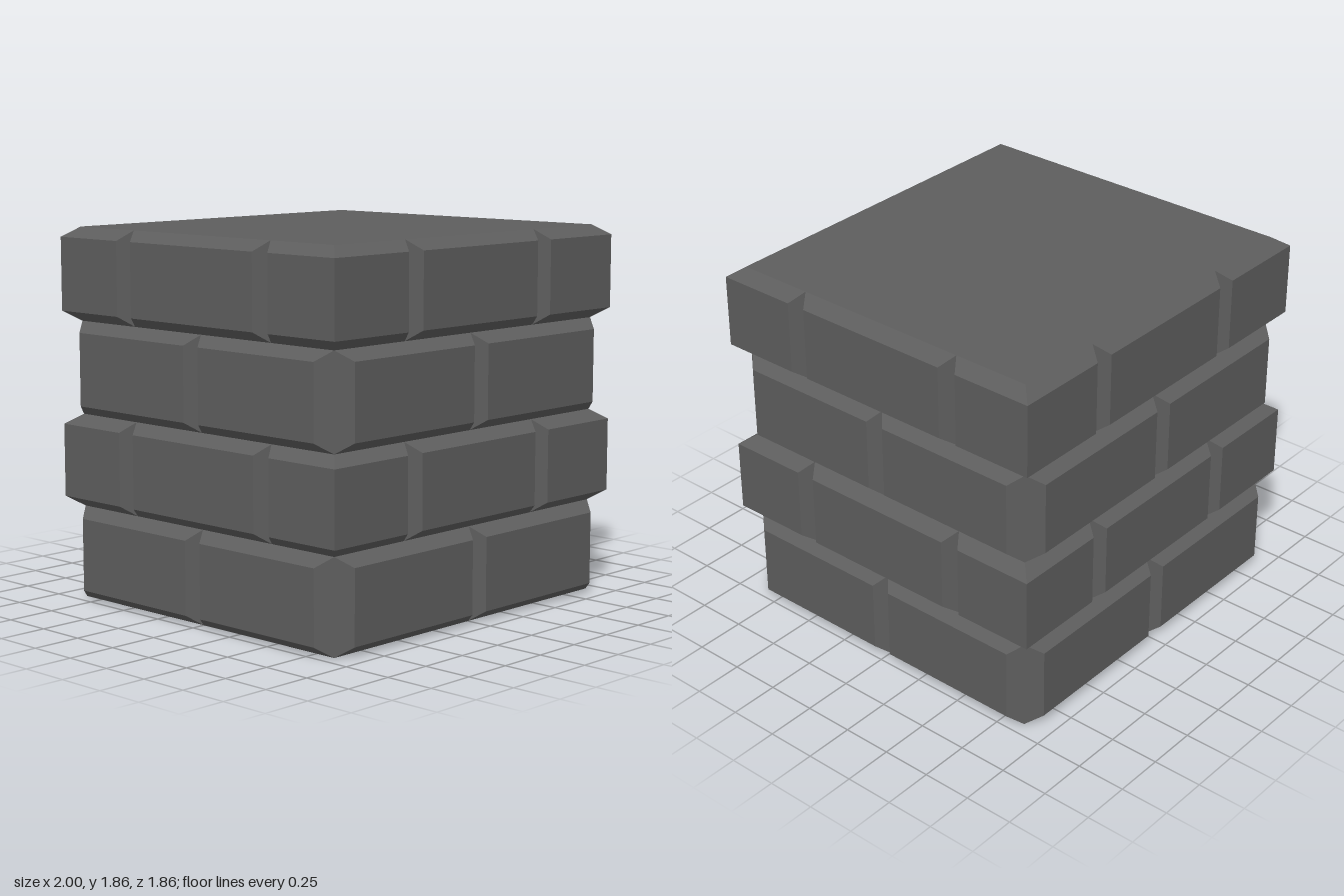
import * as THREE from 'three';

const HALF_X = 0.93, HALF_Z = 0.86;   // core of the block, at the bottom of the joints
const ROW_H = 0.465, ROWS = 4;
const DEPTH = 0.07, BEVEL = 0.05, CORNER_BEVEL = 0.06, JOINT = 0.465;

const material = new THREE.MeshStandardMaterial({ color: 0x5d5d5d, flatShading: true });

// A bevelled brick facing +z: base edge b0..b1 at z = wall, raised face f0..f1 at z = wall + depth
function brickGeometry(b0, b1, f0, f1, wall, depth, openLeft, openRight) {
  const base = [[b0, 0], [b1, 0], [b1, ROW_H], [b0, ROW_H]].map(([x, y]) => [x, y, wall]);
  const face = [[f0, BEVEL], [f1, BEVEL], [f1, ROW_H - BEVEL], [f0, ROW_H - BEVEL]]
    .map(([x, y]) => [x, y, wall + depth]);
  const points = [];
  const quad = (a, b, c, d) => points.push(...a, ...b, ...c, ...a, ...c, ...d);
  quad(...face);
  for (let i = 0; i < 4; i++) {
    // mitred corner ends meet the neighbouring wall and stay open
    if ((i === 1 && openRight) || (i === 3 && openLeft)) continue;
    const j = (i + 1) % 4;
    quad(base[i], base[j], face[j], face[i]);
  }
  const geometry = new THREE.BufferGeometry();
  geometry.setAttribute('position', new THREE.Float32BufferAttribute(points, 3));
  geometry.computeVertexNormals();
  return geometry;
}

// One course of bricks along one wall
function addCourse(parent, half, wall, depth, wrapped) {
  const joints = wrapped ? [-half, -JOINT, JOINT, half] : [-half, 0, half];
  const last = joints.length - 2;
  // wrapped courses run out to a square corner, the others are bevelled there
  const endInset = wrapped ? -DEPTH : CORNER_BEVEL;
  for (let i = 0; i <= last; i++) {
    const b0 = joints[i], b1 = joints[i + 1];
    const f0 = b0 + (i === 0 ? endInset : BEVEL);
    const f1 = b1 - (i === last ? endInset : BEVEL);
    const brick = new THREE.Mesh(
      brickGeometry(b0, b1, f0, f1, wall, depth, wrapped && i === 0, wrapped && i === last), material);
    brick.name = wrapped && i !== 1 ? 'cornerBrick' : 'brick';
    parent.add(brick);
  }
}

export function createModel() {
  const model = new THREE.Group();
  model.name = 'brickBlock';

  // Four walls, four courses each, alternating the bond
  ['frontWall', 'leftWall', 'backWall', 'rightWall'].forEach((name, side) => {
    const wallGroup = new THREE.Group();
    wallGroup.name = name;
    wallGroup.rotation.y = side * Math.PI / 2;
    const [half, wall] = side % 2 ? [HALF_Z, HALF_X] : [HALF_X, HALF_Z];
    for (let row = 0; row < ROWS; row++) {
      const course = new THREE.Group();
      course.name = 'course';
      course.position.y = row * ROW_H;
      const wrapped = row % 2 === 1;
      // the plain courses sit slightly shallower on the left wall
      const depth = name === 'leftWall' && !wrapped ? 0.058 : DEPTH;
      addCourse(course, half, wall, depth, wrapped);
      wallGroup.add(course);
    }
    model.add(wallGroup);
  });

  // Flat top and underside
  for (const [name, y, turn] of [['top', ROWS * ROW_H, -1], ['underside', 0, 1]]) {
    const cap = new THREE.Mesh(new THREE.PlaneGeometry(2 * HALF_X, 2 * HALF_Z), material);
    cap.name = name;
    cap.rotation.x = turn * Math.PI / 2;
    cap.position.y = y;
    model.add(cap);
  }
  return model;
}
